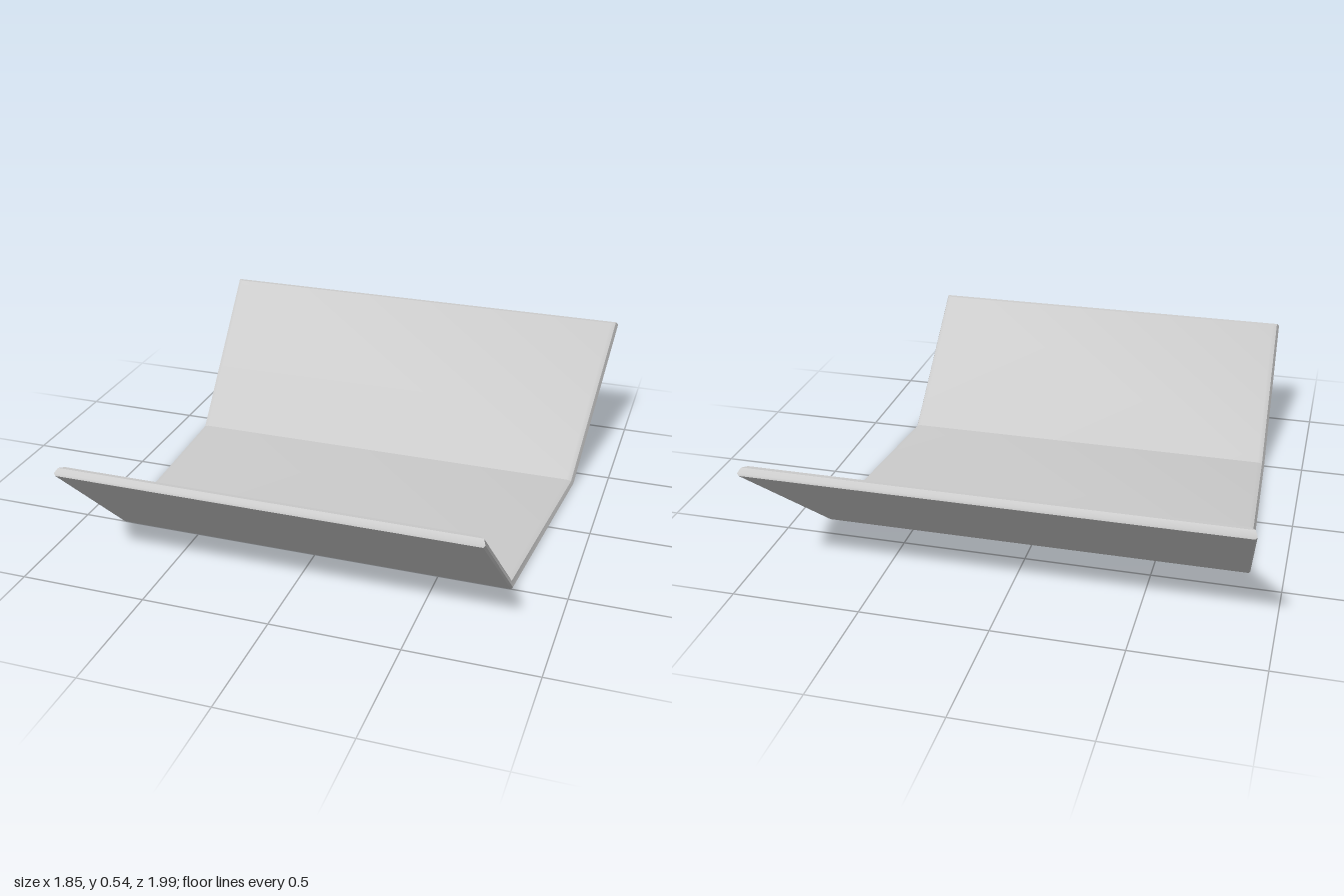
import * as THREE from 'three';
import { toCreasedNormals } from 'three/addons/utils/BufferGeometryUtils.js';

// Stations from front lip to back lip: [z, y] of the outer and inner face, left and right edge in x
const stations = [
  { outer: [1.0, 0.47], inner: [0.972, 0.5], left: 0.78, right: -0.82 },
  { outer: [0.5, 0.0], inner: [0.47, 0.03], left: 0.79, right: -0.835 },
  { outer: [-0.395, 0.0], inner: [-0.37, 0.03], left: 0.865, right: -0.87 },
  { outer: [-1.0, 0.515], inner: [-0.973, 0.547], left: 0.925, right: -0.925 },
];

// Layers through the sheet thickness: fraction of thickness, side inset, lip inset
const layers = [
  [0, 0.006, 0.004],
  [0.2, 0, 0],
  [0.75, 0.009, 0.003],
  [1, 0.028, 0.016],
];

function layerRing([t, sideInset, lipInset]) {
  const left = [], right = [];
  stations.forEach((s, i) => {
    let z = THREE.MathUtils.lerp(s.outer[0], s.inner[0], t);
    let y = THREE.MathUtils.lerp(s.outer[1], s.inner[1], t);
    // pull the two lips back along their panel
    if (i === 0 || i === stations.length - 1) {
      const next = stations[i === 0 ? 1 : i - 1].outer;
      const dz = next[0] - s.outer[0], dy = next[1] - s.outer[1];
      const len = Math.hypot(dz, dy);
      z += (dz / len) * lipInset;
      y += (dy / len) * lipInset;
    }
    left.push([s.left - sideInset, y, z]);
    right.unshift([s.right + sideInset, y, z]);
  });
  return [...left, ...right];
}

function bentSheet() {
  const n = stations.length * 2;
  const positions = layers.flatMap(layerRing).flat();
  const index = [];
  const quad = (a, b, c, d) => index.push(a, b, c, a, c, d);
  // bevelled rim
  for (let k = 0; k < layers.length - 1; k++) {
    for (let j = 0; j < n; j++) {
      const j2 = (j + 1) % n;
      quad(k * n + j, k * n + j2, (k + 1) * n + j2, (k + 1) * n + j);
    }
  }
  // upper and lower faces of the three panels
  const top = (layers.length - 1) * n;
  for (let s = 0; s < stations.length - 1; s++) {
    const r = n - 1 - s;
    quad(top + s, top + s + 1, top + r - 1, top + r);
    quad(r, r - 1, s + 1, s);
  }
  const geometry = new THREE.BufferGeometry();
  geometry.setAttribute('position', new THREE.Float32BufferAttribute(positions, 3));
  geometry.setIndex(index);
  return toCreasedNormals(geometry, 0.6);
}

export function createModel() {
  const group = new THREE.Group();
  group.name = 'bentTray';
  const sheet = new THREE.Mesh(bentSheet(), new THREE.MeshStandardMaterial({ color: 0xcccccc }));
  sheet.name = 'bentSheet';
  group.add(sheet);
  return group;
}
